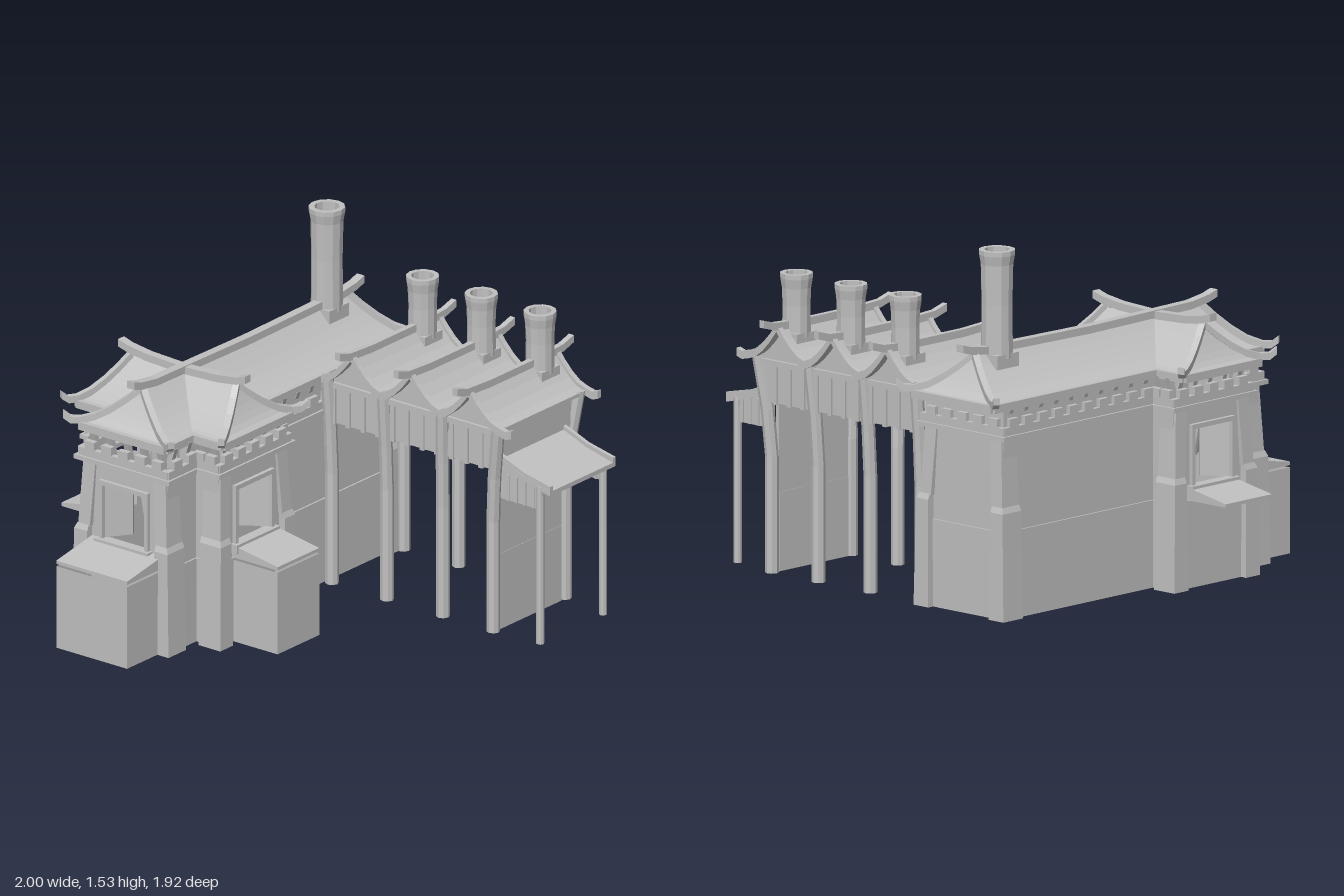
import * as THREE from 'three';
import { ParametricGeometry } from 'three/addons/geometries/ParametricGeometry.js';

const stone = new THREE.MeshStandardMaterial({ color: 0xc0c0c0, flatShading: true, side: THREE.DoubleSide });
stone.name = 'grey stone';

const C = -0.43, ZC = 0.31, H = 0.225, T = 0.345, FRONT = 0.725, BACK = -0.82;

function add(parent, name, geo) {
  const m = new THREE.Mesh(geo, stone);
  m.name = name;
  parent.add(m);
  return m;
}
function group(parent, name) {
  const g = new THREE.Group();
  g.name = name;
  parent.add(g);
  return g;
}
// box given by its limits
function box(parent, name, x0, x1, y0, y1, z0, z1) {
  return add(parent, name, new THREE.BoxGeometry(x1 - x0, y1 - y0, z1 - z0)
    .translate((x0 + x1) / 2, (y0 + y1) / 2, (z0 + z1) / 2));
}
// skin over a list of rings with equal point counts, optionally capped at both ends
function loft(rings, caps = true) {
  const n = rings[0].length, pos = [], idx = [];
  rings.forEach(r => r.forEach(p => pos.push(...p)));
  for (let i = 0; i + 1 < rings.length; i++) {
    for (let j = 0; j < n; j++) {
      const a = i * n + j, b = i * n + (j + 1) % n;
      idx.push(a, b, b + n, a, b + n, a + n);
    }
  }
  const e = (rings.length - 1) * n;
  for (let j = 1; caps && j + 1 < n; j++) idx.push(0, j + 1, j, e, e + j, e + j + 1);
  const g = new THREE.BufferGeometry();
  g.setAttribute('position', new THREE.Float32BufferAttribute(pos, 3));
  g.setIndex(idx);
  g.computeVertexNormals();
  return g;
}
const rect = (x0, x1, z0, z1, y) => [[x0, y, z1], [x1, y, z1], [x1, y, z0], [x0, y, z0]];
// rectangular bar following points, its sides kept upright
function beam(pts, w, h) {
  return loft(pts.map((p, i) => {
    const a = pts[Math.max(i - 1, 0)], b = pts[Math.min(i + 1, pts.length - 1)];
    const dx = b[0] - a[0], dz = b[2] - a[2], l = Math.hypot(dx, dz);
    const sx = -dz / l * w / 2, sz = dx / l * w / 2;
    return [[-1, -1], [1, -1], [1, 1], [-1, 1]].map(([s, t]) => [p[0] + s * sx, p[1] + t * h / 2, p[2] + s * sz]);
  }));
}
// round post through centre points
function post(pts, r) {
  return loft(pts.map(p => Array.from({ length: 8 }, (_, k) => {
    const a = -k * Math.PI / 4;
    return [p[0] + r * Math.cos(a), p[1], p[2] + r * Math.sin(a)];
  })));
}
function chimney(parent, x, z, y0, y1, r) {
  const g = group(parent, 'chimney');
  g.position.set(x, 0, z);
  const pts = [[.93, y0], [.9, y0 + (y1 - y0) * .5], [.95, y1 - .06], [1.05, y1 - .02], [1.05, y1], [.72, y1], [.68, y0]];
  add(g, 'chimneyPipe', new THREE.LatheGeometry(pts.map(p => new THREE.Vector2(p[0] * r, p[1])), 12));
  const b = r * .88;
  box(g, 'chimneyBase', -b, b, y0 - .04, y0 + .02, -b, b);
}

// one wall section, seen from outside: x along the wall, z outwards
function wall(parent, x1, z1, x2, z2, { window = false, end = false, tall = false, plank = false }) {
  const g = group(parent, 'wallSection');
  const L = Math.hypot(x2 - x1, z2 - z1), M = L / 2;
  g.position.set(x1, 0, z1);
  g.rotation.y = Math.atan2(z1 - z2, x2 - x1);
  const path = (P, a, b, c, d) => { const p = new P(); p.moveTo(a, c); p.lineTo(b, c); p.lineTo(b, d); p.lineTo(a, d); p.closePath(); return p; };
  const shape = path(THREE.Shape, 0, L, 0, tall ? .92 : .79);
  if (window) shape.holes.push(path(THREE.Path, M - .112, M + .112, .44, .68));
  add(g, 'wall', new THREE.ExtrudeGeometry(shape, { depth: .015, bevelEnabled: false }).translate(0, 0, -.015));
  box(g, 'plinth', 0, L, 0, .375, 0, .008);
  box(g, 'ledge', -.03, L + .03, .77, .79, -.04, .03);
  box(g, 'parapet', -.015, L + .015, .79, .825, -.005, .02);
  const n = Math.max(2, Math.round(L / .095));
  for (let i = 0; i < n; i++) {
    const u = (i + .5) * L / n;
    box(g, 'merlon', u - .026, u + .026, .825, .86, -.005, .02);
    add(g, 'bracket', loft([rect(u - .012, u + .012, -.05, -.03, .78), rect(u - .012, u + .012, -.02, .01, .91)]));
  }
  if (end) for (const s of [0, 1]) {
    const f = (a, b, c, d, y) => s ? rect(L - b, L - a, c, d, y) : rect(a, b, c, d, y);
    add(g, 'buttressBase', loft([f(-.035, .05, -.08, .038, 0), f(-.025, .045, -.08, .033, .46), f(-.015, .045, -.08, .023, .485)], false));
    add(g, 'buttress', loft([f(-.012, .05, -.08, .022, .48), f(.005, .07, -.08, .008, .78)]));
  }
  if (!window) return;
  // window frame with splayed jambs
  box(g, 'sill', M - .145, M + .145, .4, .44, -.015, .035);
  box(g, 'lintel', M - .13, M + .13, .68, .7, -.015, .018);
  for (const s of [-1, 1]) {
    box(g, 'frame', M + s * .121 - .009, M + s * .121 + .009, .44, .68, -.015, .018);
    add(g, 'jamb', loft([.44, .68].map(y => [[M + s * .112, y, 0], [M + s * .117, y, -.02], [M + s * .045, y, -.11], [M + s * .04, y, -.1]])));
  }
  if (plank) {
    const p = box(g, 'plank', -.01, .01, -.11, .11, -.07, -.055);
    p.position.set(M + .01, .56, -.06);
    p.rotation.z = .2;
  }
}

// concave roof along z with sloping hipped ends, curled hips and ridge
function hipRoof(parent, name, z0, a0, a1, z1, ridge) {
  const g = group(parent, name);
  const W = .23, Y = v => 1.09 - .16 * (1 - Math.pow(1 - v, 1.5));
  const lo = v => a0 + (z0 - a0) * v, hi = v => a1 + (z1 - a1) * v;
  for (const s of [-1, 1]) {
    add(g, 'roofSlope', new ParametricGeometry((u, v, t) => t.set(s * W * v, Y(v), lo(v) + (hi(v) - lo(v)) * (s > 0 ? 1 - u : u)), 1, 6));
    const e = s > 0 ? hi : lo, tip = s > 0 ? z1 : z0;
    add(g, 'roofEnd', new ParametricGeometry((u, v, t) => t.set(s * W * v * (2 * u - 1), Y(v), e(v)), 1, 6));
    box(g, 'sideEave', s * W - .012, s * W + .012, .9, .935, z0, z1);
    box(g, 'endEave', -W, W, .9, .935, tip - .015, tip + .015);
    for (const k of [-1, 1]) {
      const pts = [0, .25, .5, .75, 1].map(v => [k * W * v, Y(v) + .012, e(v)]);
      pts.push([k * (W + .035), .942, tip + s * .022], [k * (W + .06), .965, tip + s * .04]);
      add(g, 'hipBeam', beam(pts, .028, .03));
    }
  }
  const [r0, r1] = ridge;
  add(g, 'ridgeBeam', beam([[0, 1.137, r0], [0, 1.122, r0 + .05], [0, 1.108, r0 + .15], [0, 1.1, (r0 + r1) / 2],
    [0, 1.108, r1 - .15], [0, 1.122, r1 - .05], [0, 1.137, r1]], .04, .033));
  return g;
}

// small porch on a wing end, pointing along local +z
function porch(parent, name, x, z, turn, half, depth, body) {
  const g = group(parent, name);
  g.position.set(x, 0, z);
  g.rotation.y = turn;
  if (body) add(g, 'porchWalls', loft([rect(-half, half, -.02, depth, 0), rect(-half, half, -.02, depth, .368)], false));
  add(g, 'porchRoof', loft([rect(-half, half, -.02, depth, .378),
    [[-half, .393, depth], [half, .393, depth], [half, .437, -.02], [-half, .437, -.02]]]));
}

function hall(parent) {
  const g = group(parent, 'hall');
  const o = [[C - H, FRONT], [C + H, FRONT], [C + H, ZC + H], [C + T, ZC + H], [C + T, ZC - H], [C + H, ZC - H],
    [C + H, BACK], [C - H, BACK], [C - H, ZC - H], [C - T, ZC - H], [C - T, ZC + H], [C - H, ZC + H]];
  o.forEach((p, i) => {
    const q = o[(i + 1) % o.length];
    wall(g, ...p, ...q, { window: [0, 3, 9].includes(i), end: i % 3 === 0, tall: i > 4 && i < 8, plank: i === 0 });
  });
  porch(g, 'frontPorch', C + .01, FRONT, 0, .19, .24, true);
  porch(g, 'leftPorch', C + T, .305, Math.PI / 2, .14, .245, true);
  porch(g, 'rightPorch', C - T, .305, -Math.PI / 2, .14, .225, false);
  hipRoof(g, 'hallRoof', -.9, -.77, .6, .73, [-.86, .68]).position.x = C - .01;
  const cross = hipRoof(g, 'crossRoof', -.39, -.28, .28, .39, [-.34, .34]);
  cross.position.set(C - .01, 0, ZC + .01);
  cross.rotation.y = Math.PI / 2;
  chimney(g, C - .015, -.64, 1.07, 1.53, .074);
}

function colonnade(parent) {
  const g = group(parent, 'colonnade');
  const ridges = [-.02, .295, .61], Z0 = -.86, Z1 = -.28, half = .1575;
  // roof outline: three peaks with concave sides
  const line = [];
  ridges.forEach((r, i) => {
    for (let k = -4; k <= 4; k++) {
      if (i && k === -4) continue;
      const d = Math.abs(k) / 4;
      line.push([r + half * k / 4, 1.07 - .135 * (1 - Math.pow(1 - d, 1.6))]);
    }
  });
  add(g, 'roof', loft([Z0, Z1].map(z => [...line.map(p => [p[0], p[1], z]), ...line.slice().reverse().map(p => [p[0], p[1] - .015, z])]), false));
  for (const [z, zp] of [[Z0, Z0 + .035], [Z1, Z1 - .035]]) {
    add(g, 'edgeBeam', beam([...line.map(p => [p[0], p[1], z]), [.81, .925, z], [.84, .935, z]], .025, .035));
    const s = new THREE.Shape([[-.19, .735], ...line, [.74, .735]].map(p => new THREE.Vector2(...p)));
    add(g, 'gablePanel', new THREE.ExtrudeGeometry(s, { depth: .012, bevelEnabled: false }).translate(0, 0, zp - .006));
    const out = z === Z0 ? -1 : 1;
    for (let i = 0; i < 12; i++) {
      const x = -.14 + i * .079;
      box(g, 'strut', x - .011, x + .011, .73, .91, zp - .015, zp + .015);
    }
    box(g, 'tieBeam', -.19, .75, .895, .92, zp - .02, zp + .02);
    // columns lean outwards near the top
    for (const [x, lean] of [[-.165, 0], [.13, .005], [.43, .02], [.7, .05]]) {
      const zc = z === Z0 ? -.805 : -.325;
      add(g, 'column', post([[x, 0, zc], [x, .5, zc], [x + lean * .3, .7, zc + out * .01], [x + lean, .94, zc + out * .03]], .029));
    }
  }
  ridges.forEach(x => {
    add(g, 'ridgeBeam', beam([[x, 1.1, -.96], [x, 1.08, -.89], [x, 1.072, -.75], [x, 1.072, -.4], [x, 1.08, -.25], [x, 1.1, -.18]], .026, .033));
    chimney(g, x, -.75, 1.02, 1.29, .067);
  });
  box(g, 'ceiling', -.2, .735, .735, .745, -.82, -.32);
  box(g, 'endPanel', .725, .735, .735, .91, -.82, -.32);
  box(g, 'endWallLower', .69, .71, 0, .34, -.77, -.35);
  box(g, 'endWallUpper', .692, .708, .34, .74, -.77, -.35);
}

function leanTo(parent) {
  const g = group(parent, 'leanTo');
  add(g, 'leanToRoof', loft([[.73, .785], [.86, .735], [1, .7]].map(([x, y]) =>
    [[x, y - .02, -.33], [x, y - .02, -.77], [x, y, -.77], [x, y, -.33]])));
  for (const z of [-.34, -.76]) {
    add(g, 'leanToEdge', beam([[.73, .785, z], [.86, .735, z], [1, .705, z]], .018, .035));
    const s = new THREE.Shape([[.73, .605], [.925, .605], [.925, .715], [.86, .73], [.73, .775]].map(p => new THREE.Vector2(...p)));
    add(g, 'leanToPanel', new THREE.ExtrudeGeometry(s, { depth: .01, bevelEnabled: false }).translate(0, 0, z - .005));
    for (let i = 0; i < 4; i++) box(g, 'leanToStrut', .765 + i * .045, .779 + i * .045, .605, .72, z - .01, z + .01);
    add(g, 'leanToPost', post([[.94, 0, z], [.94, .71, z]], .017));
  }
  box(g, 'leanToBeam', .925, .955, .67, .7, -.77, -.33);
}

export function createModel() {
  const model = new THREE.Group();
  model.name = 'hallWithColonnade';
  hall(model);
  colonnade(model);
  leanTo(model);
  return model;
}
